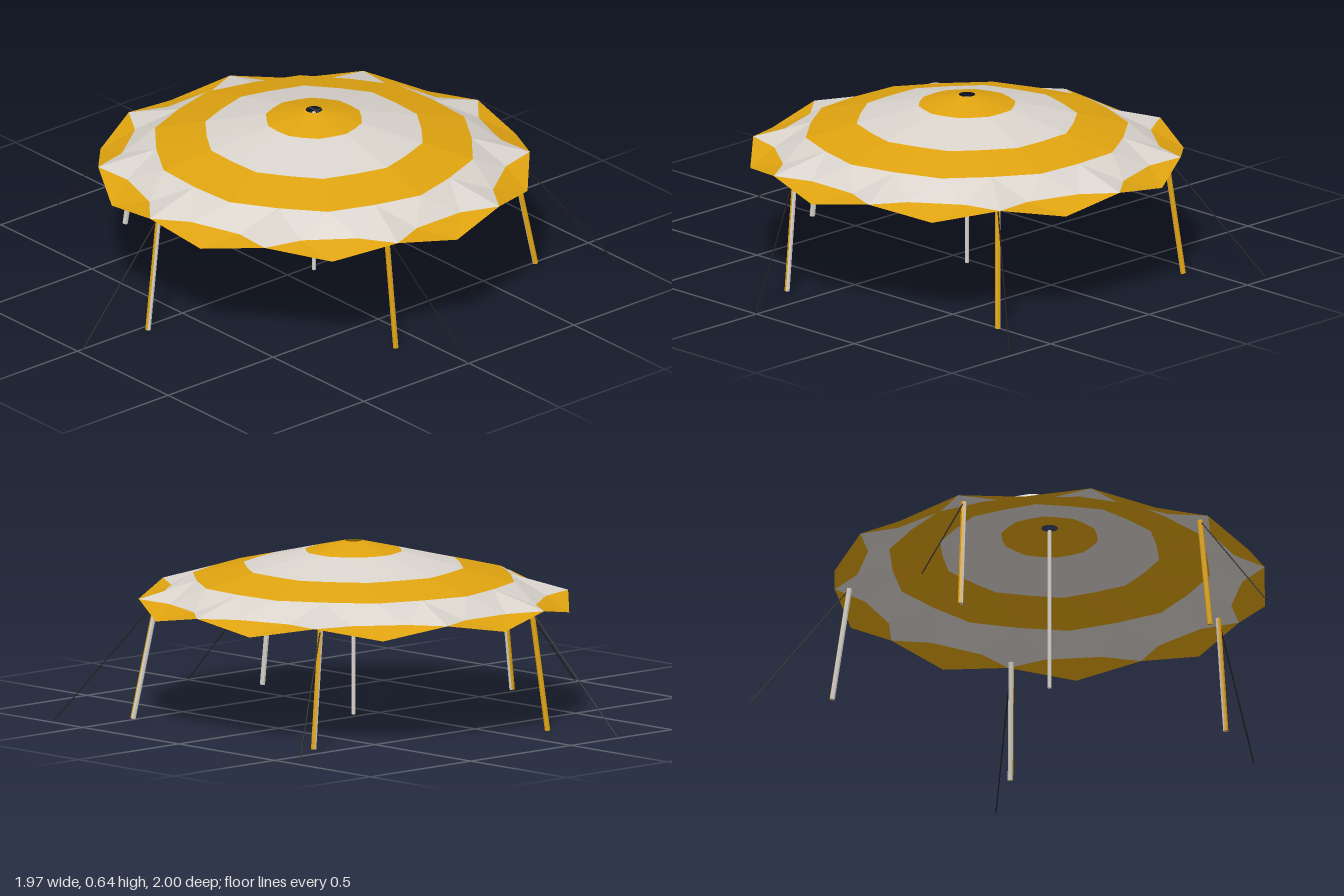
import * as THREE from 'three';

const CX = 0.1, CZ = 0.03; // canopy axis
const yellow = new THREE.MeshStandardMaterial({ color: 0xdfa310, side: THREE.DoubleSide, flatShading: true });
yellow.name = 'yellow';
const white = new THREE.MeshStandardMaterial({ color: 0xd9d3cc, side: THREE.DoubleSide, flatShading: true });
white.name = 'off white';
const dark = new THREE.MeshStandardMaterial({ color: 0x24211f });
dark.name = 'dark rope';

const rad = THREE.MathUtils.degToRad;
const pt = (deg, r, y) =>
  new THREE.Vector3(CX + r * Math.cos(rad(deg)), y, CZ + r * Math.sin(rad(deg)));

// Mesh from loose triangles, each turned to face upward
function cloth(name, tris, material) {
  const pos = [];
  for (const [a, b, c] of tris) {
    const n = b.clone().sub(a).cross(c.clone().sub(a));
    for (const p of n.y < 0 ? [a, c, b] : [a, b, c]) pos.push(p.x, p.y, p.z);
  }
  const g = new THREE.BufferGeometry();
  g.setAttribute('position', new THREE.Float32BufferAttribute(pos, 3));
  g.computeVertexNormals();
  const m = new THREE.Mesh(g, material);
  m.name = name;
  return m;
}

// Cylinder between two points, optionally only part of its circumference
function rod(name, top, base, r, sides, material, start = 0, length = Math.PI * 2) {
  const d = top.clone().sub(base);
  const m = new THREE.Mesh(
    new THREE.CylinderGeometry(r, r, d.length(), sides, 1, false, start, length), material);
  m.position.copy(top).add(base).multiplyScalar(0.5);
  m.quaternion.setFromUnitVectors(new THREE.Vector3(0, 1, 0), d.normalize());
  m.name = name;
  return m;
}

function createCanopy() {
  const canopy = new THREE.Group();
  canopy.name = 'canopy';

  // Conical roof in three bands: [ridge radius, valley radius, height]
  const rings = [[0.03, 0.03, 0.635], [0.172, 0.177, 0.6], [0.388, 0.402, 0.545], [0.57, 0.588, 0.5]];
  const names = ['crownBand', 'upperBand', 'middleBand'];
  names.forEach((name, i) => {
    const tris = [];
    for (let j = 0; j < 20; j++) {
      const at = (ring, k) => pt(k * 18, ring[k % 2], ring[2]);
      const a = at(rings[i], j), b = at(rings[i], j + 1);
      const c = at(rings[i + 1], j), d = at(rings[i + 1], j + 1);
      tris.push([a, c, d], [a, d, b]);
    }
    canopy.add(cloth(name, tris, i === 1 ? white : yellow));
  });

  // Scalloped edge: raised tips every 36 degrees, drooping folds between
  const skirt = [], trim = [];
  for (let k = 0; k < 10; k++) {
    const mid = k * 36 + 18;
    const valley = pt(mid, 0.588, 0.5);
    const fold = pt(mid, 0.686, 0.436);
    const droop = pt(mid, 0.79, 0.395);
    for (const s of [-1, 1]) {
      const ridge = pt(mid + 18 * s, 0.57, 0.5);
      const tip = pt(mid + 18 * s, 0.78, 0.437);
      const side = pt(mid + 8.5 * s, 0.694, 0.436);
      skirt.push([valley, fold, side], [valley, side, ridge], [ridge, side, tip]);
      trim.push([fold, droop, side], [side, droop, tip]);
    }
  }
  canopy.add(cloth('lowerBand', skirt, white), cloth('scallopedTrim', trim, yellow));
  return canopy;
}

export function createModel() {
  const model = new THREE.Group();
  model.name = 'canopyTent';
  model.add(createCanopy());

  const v = (x, y, z) => new THREE.Vector3(x, y, z);
  model.add(rod('centrePole', v(CX, 0.625, CZ), v(CX, 0, CZ), 0.007, 8, white));

  // Side poles and guy ropes: [angle, pole top, pole base, rope foot]
  const supports = [
    [36, v(0.68, 0.43, 0.45), v(0.74, 0, 0.51), v(0.97, 0, 0.68)],
    [-36, v(0.68, 0.43, -0.405), v(0.74, 0, -0.432), v(0.98, 0, -0.61)],
    [-108, v(-0.125, 0.43, -0.665), v(-0.155, 0, -0.715), v(-0.232, 0, -1)],
    [108, v(-0.12, 0.43, 0.685), v(-0.115, 0, 0.73), v(-0.002, 0, 1)],
    [180, v(-0.64, 0.43, 0.03), v(-0.69, 0, 0.03), v(-0.985, 0, 0.01)],
  ];
  for (const [angle, top, base, foot] of supports) {
    const pole = new THREE.Group();
    pole.name = 'sidePole';
    const start = rad(90 - angle - 140); // two-tone split along the pole
    pole.add(rod('poleYellowHalf', top, base, 0.01, 4, yellow, start, Math.PI));
    pole.add(rod('poleWhiteHalf', top, base, 0.01, 4, white, start + Math.PI, Math.PI));
    model.add(pole, rod('guyRope', top, foot, 0.0025, 5, dark));
  }
  return model;
}
